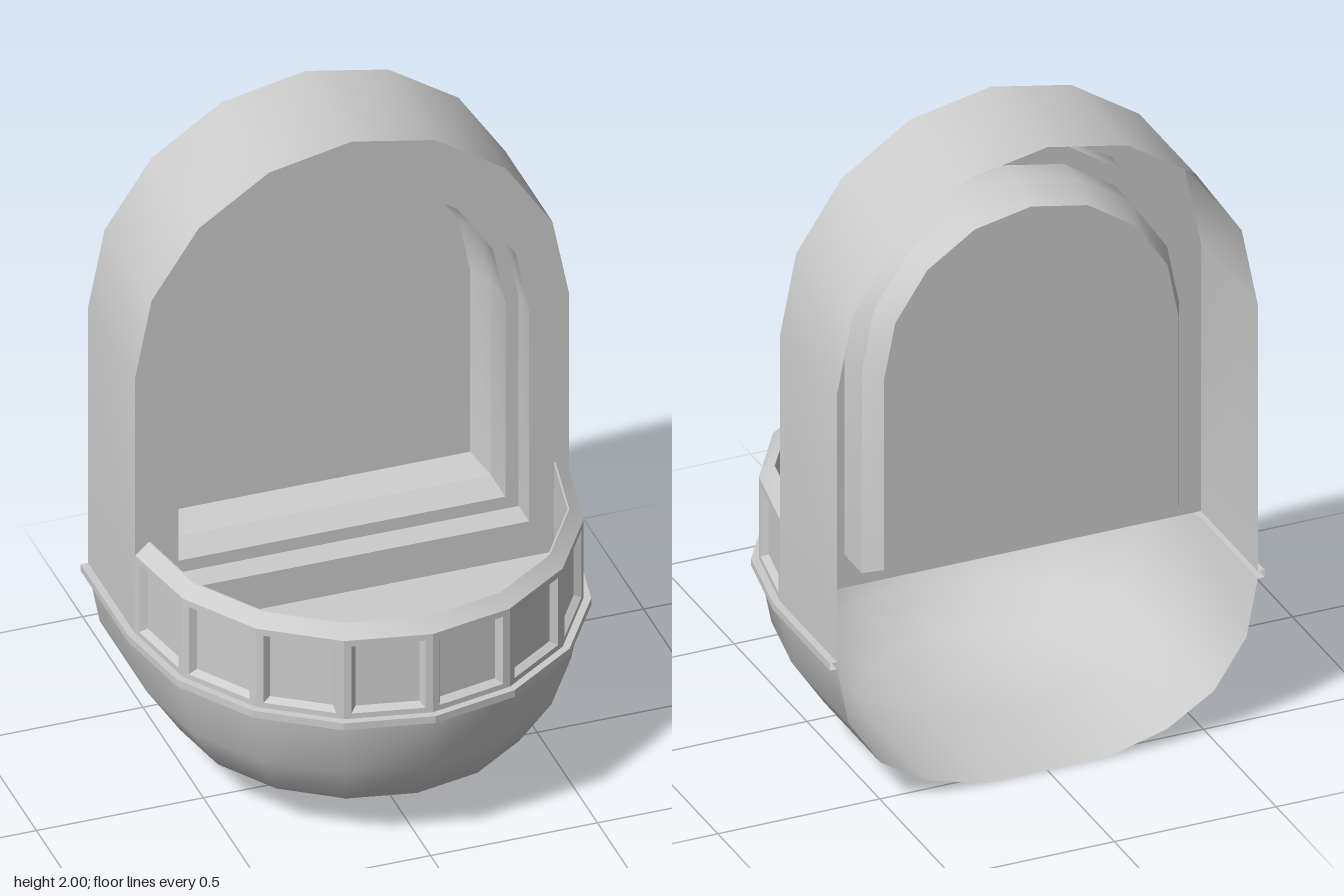
import * as THREE from 'three';
import { toCreasedNormals } from 'three/addons/utils/BufferGeometryUtils.js';

const BACK = -0.54, FRONT = -0.15, SEG = 8;
const V = (x, y, z) => new THREE.Vector3(x, y, z);
const material = new THREE.MeshStandardMaterial({ color: 0xcccccc, side: THREE.DoubleSide });

// Skin between successive rings of equal point count; collapsed triangles are dropped
function loft(rings, closed = false, crease = 0.65) {
  const pos = [];
  const tri = (a, b, c) => {
    const area = b.clone().sub(a).cross(c.clone().sub(a)).length();
    if (area > 1e-7) for (const p of [a, b, c]) pos.push(p.x, p.y, p.z);
  };
  for (let r = 0; r < rings.length - 1; r++) {
    const A = rings[r], B = rings[r + 1], n = A.length;
    for (let i = 0; i < (closed ? n : n - 1); i++) {
      const j = (i + 1) % n;
      tri(A[i], A[j], B[j]);
      tri(A[i], B[j], B[i]);
    }
  }
  const g = new THREE.BufferGeometry();
  g.setAttribute('position', new THREE.Float32BufferAttribute(pos, 3));
  g.computeVertexNormals();
  return crease ? toCreasedNormals(g, crease) : g;
}

// Horizontal half-round section, from left (+x) round the front to the right
function halfRing(a, y, toBack = false) {
  const b = a > 0 ? a + 0.02 : 0, pts = [];
  for (let i = 0; i <= SEG; i++) {
    const t = (Math.PI * i) / SEG;
    pts.push(V(a * Math.cos(t), y, FRONT + b * Math.sin(t)));
  }
  return toBack ? [V(a, y, BACK), ...pts, V(-a, y, BACK)] : pts;
}

// Upright round-headed section, from the left foot over the top to the right foot
function arch(r, bottom, centre, z) {
  const pts = [V(r, bottom, z)];
  for (let i = 0; i <= SEG; i++) {
    const t = (Math.PI * i) / SEG;
    pts.push(V(r * Math.cos(t), centre + r * Math.sin(t), z));
  }
  pts.push(V(-r, bottom, z));
  return pts;
}

export function createModel() {
  const model = new THREE.Group();
  const add = (name, geometry, parent = model) => {
    const mesh = new THREE.Mesh(geometry, material);
    mesh.name = name;
    parent.add(mesh);
  };

  // Rounded bowl under the balcony, open at the back
  const bowl = [[0.65, 0.47], [0.615, 0.29], [0.515, 0.14], [0.37, 0.05], [0.185, 0], [0, 0]];
  add('bowl', loft(bowl.map(([a, y]) => halfRing(a, y, true))));

  // Thin projecting band between bowl and balcony
  const band = [[0.65, 0.47], [0.672, 0.47], [0.672, 0.493], [0.65, 0.493]];
  add('rimBand', loft(band.map(([a, y]) => halfRing(a, y, true)), false, 0.3));

  // Balcony floor, chamfered rail top and inner wall
  add('balconyFloor', loft([halfRing(0.65, 0.493), halfRing(0, 0.493)]));
  const rail = [[0.65, 0.755], [0.61, 0.79], [0.605, 0.79], [0.605, 0.493]];
  add('balconyRail', loft(rail.map(([a, y]) => halfRing(a, y)), false, 0.3));

  // Outer wall: one recessed panel in each facet
  const panels = new THREE.Group();
  panels.name = 'balconyPanels';
  model.add(panels);
  const corners = halfRing(0.65, 0);
  for (let i = 0; i < SEG; i++) {
    const p = corners[i], q = corners[i + 1];
    const along = q.clone().sub(p).normalize(), width = p.distanceTo(q);
    const inward = V(along.z, 0, -along.x);
    if (inward.dot(V(p.x + q.x, 0, p.z + q.z - 2 * FRONT)) > 0) inward.negate();
    const rect = (side, y0, y1, depth) =>
      [[side, y0], [width - side, y0], [width - side, y1], [side, y1]].map(([s, y]) =>
        p.clone().addScaledVector(along, s).addScaledVector(inward, depth).setY(y));
    const centre = p.clone().lerp(q, 0.5).addScaledVector(inward, 0.02).setY(0.622);
    add('balconyPanel', loft([
      rect(0, 0.493, 0.755, 0),
      rect(0.022, 0.51, 0.735, 0),
      rect(0.036, 0.523, 0.722, 0.02),
      [centre, centre, centre, centre],
    ], true, 0.2), panels);
  }

  // Arched hood shell
  add('archShell', loft([arch(0.65, 0.493, 1.35, BACK), arch(0.65, 0.493, 1.35, FRONT)]));

  // Front face of the arch, stepped reveal and back plate
  const plate = arch(0.455, 0.69, 1.3, -0.43);
  add('archFace', loft([arch(0.65, 0.493, 1.35, FRONT), arch(0.53, 0.61, 1.315, FRONT)], true));
  add('nicheReveal', loft([
    arch(0.53, 0.61, 1.315, FRONT),
    arch(0.53, 0.61, 1.315, -0.235),
    arch(0.49, 0.65, 1.3, -0.235),
    arch(0.49, 0.65, 1.3, -0.355),
    plate,
  ], true, 0.42));
  add('nicheBackPlate', loft([plate, plate.map(() => V(0, 1.2, -0.43))], true));

  return model;
}
